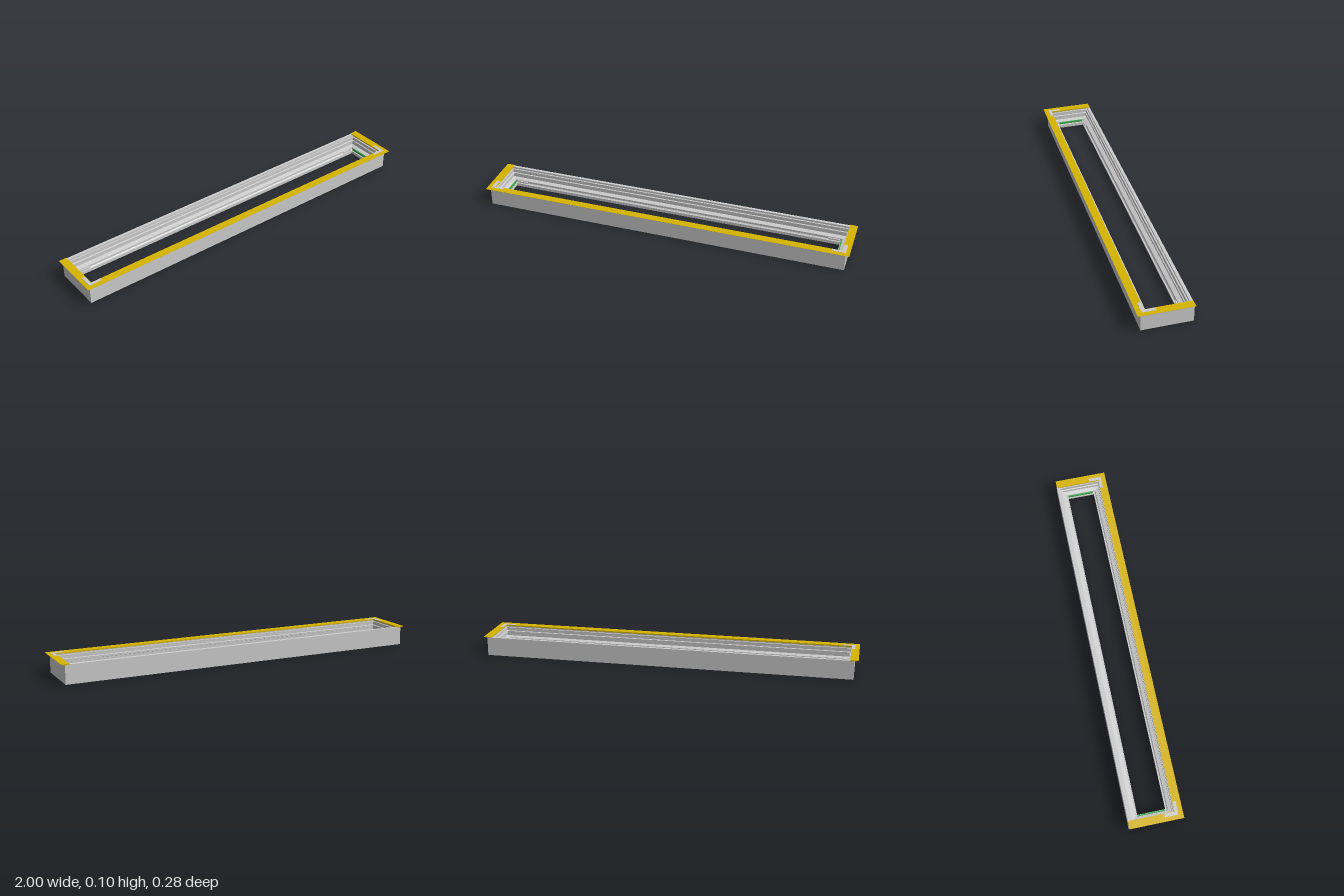
import * as THREE from 'three';

const HALF_X = 0.98, FRONT = 0.12, BACK = -0.14;

const material = (color, side = THREE.FrontSide) =>
  new THREE.MeshStandardMaterial({ color, flatShading: true, side });

// Sweeps a closed [inset, height] profile around the rectangle with mitred corners.
// An open sweep skips the back edge and is capped there (convex profiles).
function sweep(profile, closed) {
  const at = (i, j) => {
    const [d, y] = profile[j % profile.length];
    const k = i % 4;
    const back = closed ? BACK + d : BACK;
    return [(k < 2 ? -1 : 1) * (HALF_X - d), y, k === 1 || k === 2 ? FRONT - d : back];
  };
  const pos = [];
  const n = profile.length;
  for (let i = 0; i < (closed ? 4 : 3); i++) {
    for (let j = 0; j < n; j++) {
      const a = at(i, j), b = at(i + 1, j), c = at(i + 1, j + 1), d = at(i, j + 1);
      pos.push(...a, ...b, ...c, ...a, ...c, ...d);
    }
  }
  if (!closed) {
    for (let j = 1; j < n - 1; j++) {
      pos.push(...at(0, 0), ...at(0, j), ...at(0, j + 1));
      pos.push(...at(3, 0), ...at(3, j + 1), ...at(3, j));
    }
  }
  const g = new THREE.BufferGeometry();
  g.setAttribute('position', new THREE.Float32BufferAttribute(pos, 3));
  g.computeVertexNormals();
  return g;
}

export function createModel() {
  const group = new THREE.Group();
  const add = (name, geometry, mat) => {
    const mesh = new THREE.Mesh(geometry, mat);
    mesh.name = name;
    group.add(mesh);
    return mesh;
  };
  const grey = material(0xcccccc);
  const yellow = material(0xd6b400);
  const green = material(0x3fae4f);

  // Rectangular frame: thin wall, grooved inner face and a wide bottom flange
  add('frame', sweep([
    [0, 0], [0, 0.1], [0.016, 0.1], [0.016, 0.09], [0.024, 0.09],
    [0.024, 0.072], [0.03, 0.07], [0.03, 0.06], [0.024, 0.058],
    [0.024, 0.044], [0.046, 0.038], [0.046, 0.026], [0.05, 0.022],
    [0.057, 0.022], [0.057, 0.014], [0.05, 0.01], [0.05, 0],
  ], true), grey);

  // Tapered lip along the front and both ends
  add('lip', sweep([
    [0.022, 0.097], [-0.0005, 0.097], [-0.02, 0.1025], [-0.02, 0.1035], [0.022, 0.1035],
  ], false), yellow);

  for (const s of [-1, 1]) {
    // L-shaped plates on the front corners
    const bracket = new THREE.Group();
    bracket.name = s > 0 ? 'leftCornerBracket' : 'rightCornerBracket';
    for (const [w, d, x, z] of [[0.07, 0.016, 0.943, 0.107], [0.018, 0.054, 0.969, 0.072]]) {
      const plate = new THREE.Mesh(new THREE.BoxGeometry(w, 0.002, d), grey);
      plate.name = 'bracketPlate';
      plate.position.set(s * x, 0.1034, z);
      bracket.add(plate);
    }
    group.add(bracket);

    // Strips on the inner end walls
    add(s > 0 ? 'leftEndStrip' : 'rightEndStrip', new THREE.BoxGeometry(0.006, 0.012, 0.14), green)
      .position.set(s * 0.929, 0.032, -0.012);

    // Small clips on the back ledge
    add(s > 0 ? 'leftBackClip' : 'rightBackClip', new THREE.BoxGeometry(0.06, 0.008, 0.008), grey)
      .position.set(s * 0.89, 0.03, -0.09);
  }
  return group;
}
